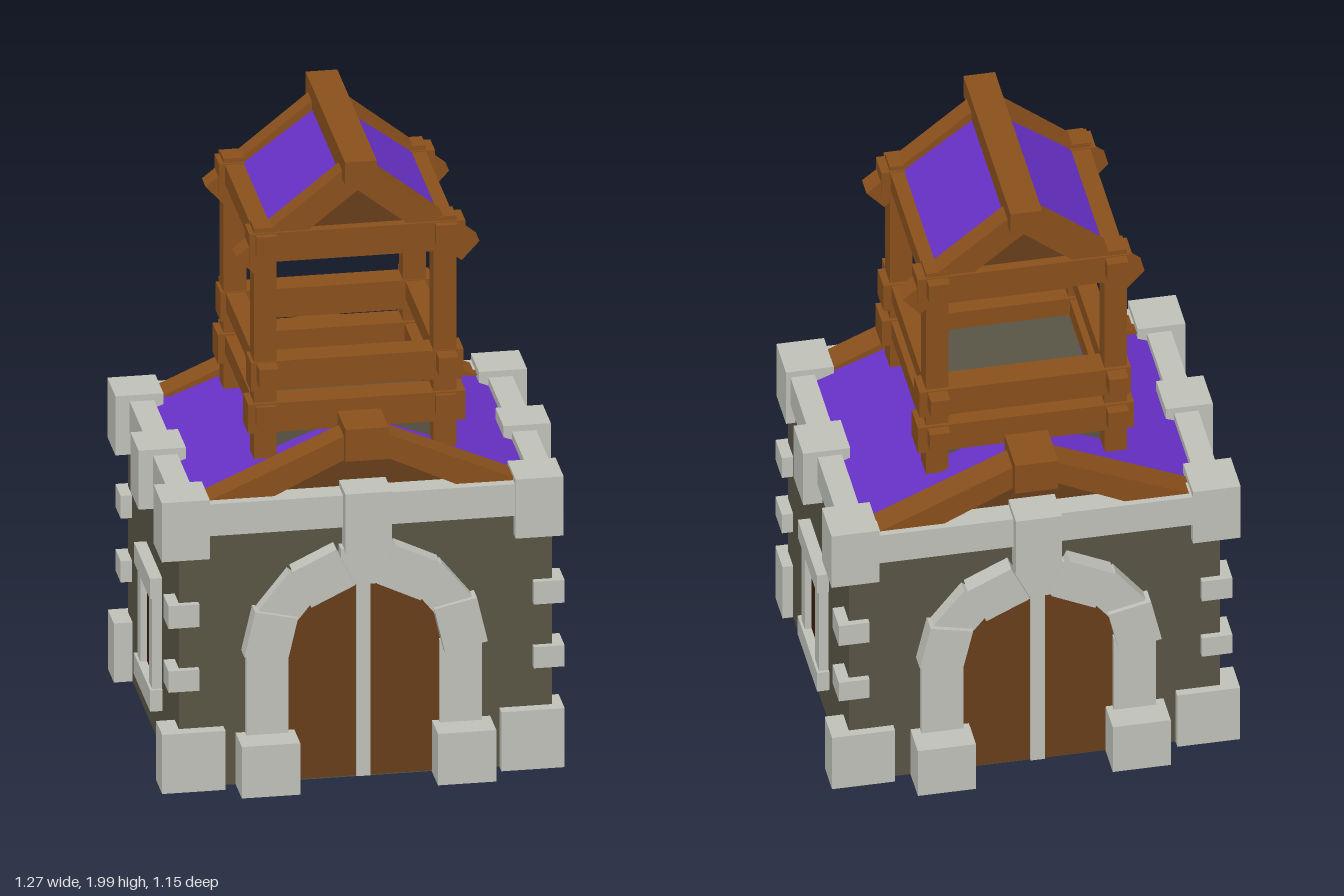
import * as THREE from 'three';

const material = (name, color, side = THREE.FrontSide) => {
  const m = new THREE.MeshStandardMaterial({ color, side });
  m.name = name;
  return m;
};

export function createModel() {
  const model = new THREE.Group();
  model.name = 'gatehouse';
  const stone = material('pale stone', 0xc0c2ba);
  const wall = material('dark wall', 0x595545, THREE.DoubleSide);
  const beam = material('beam wood', 0x8a501c);
  const plank = material('plank wood', 0x693e1a, THREE.DoubleSide);
  const cloth = material('purple roof', 0x6831c8, THREE.DoubleSide);
  const dark = material('dark opening', 0x3c1f0a);

  const add = (name, geometry, mat, parent = model) => {
    const mesh = new THREE.Mesh(geometry, mat);
    mesh.name = name;
    parent.add(mesh);
    return mesh;
  };
  // Box given by its limits on each axis
  const box = (name, mat, x0, x1, y0, y1, z0, z1, parent = model) => {
    const mesh = add(name, new THREE.BoxGeometry(x1 - x0, y1 - y0, z1 - z0), mat, parent);
    mesh.position.set((x0 + x1) / 2, (y0 + y1) / 2, (z0 + z1) / 2);
    return mesh;
  };
  // Outline in x and y, extruded from z0 to z1
  const extrude = (name, mat, points, z0, z1) => {
    const shape = new THREE.Shape(points.map(([x, y]) => new THREE.Vector2(x, y)));
    const mesh = add(name, new THREE.ExtrudeGeometry(shape, { depth: z1 - z0, bevelEnabled: false }), mat);
    mesh.position.z = z0;
    return mesh;
  };
  // Two sloping sheets meeting at a ridge
  const roof = (name, halfWidth, eave, ridge, z0, z1) => {
    for (const s of [-1, 1]) {
      const sheet = add(name, new THREE.PlaneGeometry(Math.hypot(halfWidth, ridge - eave), z1 - z0), cloth);
      sheet.geometry.rotateX(-Math.PI / 2);
      sheet.rotation.z = -s * Math.atan2(ridge - eave, halfWidth);
      sheet.position.set(s * halfWidth / 2, (eave + ridge) / 2, (z0 + z1) / 2);
    }
  };

  // Open-bottomed wall shell
  const shell = new THREE.CylinderGeometry(Math.SQRT1_2, Math.SQRT1_2, 1, 4, 1, true).toNonIndexed();
  shell.rotateY(Math.PI / 4);
  shell.scale(1.15, 0.84, 0.92);
  shell.computeVertexNormals();
  add('walls', shell, wall).position.y = 0.43;

  // Corner stones and the stone rim
  for (const sx of [-1, 1]) {
    for (const sz of [-1, 1]) {
      const corner = new THREE.Group();
      corner.name = 'cornerStones';
      model.add(corner);
      const frontLeft = sx > 0 && sz > 0;
      const block = (w, h, d, x, y, z) =>
        add('cornerStone', new THREE.BoxGeometry(w, h, d), stone, corner).position.set(sx * x, y, sz * z);
      block(0.195, 0.195, 0.11, frontLeft ? 0.51 : 0.535, 0.107, sz > 0 ? 0.442 : 0.432);
      block(0.095, 0.07, 0.095, 0.5625, 0.37, 0.4325);
      block(0.095, 0.075, 0.095, 0.5625, 0.583, 0.4325);
      block(0.148, 0.195, 0.148, frontLeft ? 0.53 : 0.56, 0.873, sz > 0 ? 0.425 : 0.413);
    }
    box('sideRim', stone, sx * 0.5525 - 0.0375, sx * 0.5525 + 0.0375, 0.845, 0.95, -0.45, 0.45);
    box('sideRimStone', stone, sx * 0.562 - 0.073, sx * 0.562 + 0.073, 0.775, 0.97, -0.06, 0.085);
    box('endRim', stone, -0.59, 0.59, 0.845, 0.95, sx * 0.447 - 0.038, sx * 0.447 + 0.038);
    box('endRimStone', stone, -0.073, 0.07, 0.775, 0.97, sx * 0.46 - 0.065, sx * 0.46 + 0.065);
  }

  // Arched door, used on the front and the back
  const doorway = (back) => {
    const group = new THREE.Group();
    group.name = back ? 'backDoorway' : 'frontDoorway';
    model.add(group);
    if (back) group.rotation.y = Math.PI;
    group.position.x = -0.008;
    const leaf = new THREE.Shape();
    leaf.moveTo(-0.25, 0.015);
    leaf.lineTo(0.25, 0.015);
    leaf.lineTo(0.25, 0.45);
    leaf.absarc(0, 0.45, 0.25, 0, Math.PI, false);
    add('door', new THREE.ShapeGeometry(leaf, 16), plank, group).position.z = 0.465;
    box('doorStrip', stone, -0.022, 0.022, 0.015, 0.7, 0.44, 0.473, group);
    for (const s of [-1, 1]) {
      box('archBase', stone, s * 0.302 - 0.09, s * 0.302 + 0.09, 0.01, 0.18, 0.4, 0.573, group);
      box('archPost', stone, s * 0.298 - 0.065, s * 0.298 + 0.065, 0.18, 0.45, 0.4, 0.487, group);
    }
    for (let i = 0; i < 7; i++) {
      const a = ((i + 0.5) / 7) * Math.PI;
      const depth = i % 2 ? 0.105 : 0.12;
      const v = add('archStone', new THREE.BoxGeometry(i % 2 ? 0.12 : 0.135, 0.15, depth), stone, group);
      v.position.set(0.3 * Math.cos(a), 0.45 + 0.272 * Math.sin(a), 0.4 + depth / 2);
      v.rotation.z = a;
    }
  };
  doorway(false);
  doorway(true);

  // Framed window on each side
  for (const left of [true, false]) {
    const w = new THREE.Group();
    w.name = left ? 'leftWindow' : 'rightWindow';
    model.add(w);
    if (!left) w.rotation.y = Math.PI;
    box('windowPane', dark, 0.576, 0.584, 0.21, 0.51, -0.095, 0.062, w);
    box('lintel', stone, 0.54, 0.613, 0.51, 0.577, -0.16, 0.128, w);
    box('sill', stone, 0.54, 0.613, 0.14, 0.21, -0.165, 0.132, w);
    box('jamb', stone, 0.54, 0.605, 0.21, 0.51, 0.06, 0.115, w);
    box('jamb', stone, 0.54, 0.605, 0.21, 0.51, -0.155, -0.093, w);
  }

  // Lower roof with gable beams
  roof('lowerRoof', 0.525, 0.92, 1.12, -0.45, 0.45);
  const lowGable = [[-0.49, 0.945], [0, 1.16], [0.49, 0.945], [0.29, 0.945], [0, 1.085], [-0.29, 0.945]];
  for (const s of [-1, 1]) {
    const z = s > 0 ? 0.408 : -0.418;
    extrude('lowerGableBeam', beam, lowGable, z - 0.046, z + 0.046);
    extrude('lowerGablePanel', plank, [[-0.31, 0.94], [0.31, 0.94], [0, 1.095]], s * 0.4 - 0.01, s * 0.4 + 0.01);
    box('lowerRidgeBlock', beam, -0.065, 0.068, 1.06, 1.165, z - 0.085, z + 0.075);
  }

  // Tower deck, posts and rails
  box('deck', wall, -0.25, 0.25, 0.98, 1.143, -0.235, 0.255);
  for (const x of [-0.285, 0.268]) {
    for (const z of [-0.263, 0.287]) {
      box('post', beam, x - 0.035, x + 0.035, 1.02, 1.78, z - 0.036, z + 0.036);
    }
    box('lowSideRail', beam, x - 0.032, x + 0.032, 1.14, 1.2, -0.345, 0.35);
    box('middleSideRail', beam, x - 0.028, x + 0.032, 1.278, 1.337, -0.36, 0.382);
    box('topSideRail', beam, x - 0.032, x + 0.034, 1.7, 1.762, -0.34, 0.352);
  }
  for (const z of [-0.265, 0.285]) {
    box('lowEndRail', beam, -0.34, 0.33, 1.11, 1.205, z - 0.045, z + 0.05);
    box('middleEndRail', beam, -0.33, 0.325, 1.245, 1.34, z - 0.046, z + 0.042);
    box('topEndRail', beam, -0.335, 0.33, 1.67, 1.765, z - 0.04, z + 0.045);
  }

  // Tower roof
  const highGable = [[-0.375, 1.69], [0, 1.99], [0.375, 1.69], [0.32, 1.63], [0, 1.885], [-0.32, 1.63]];
  for (const z of [-0.263, 0.287]) {
    extrude('upperRafters', beam, highGable, z - 0.034, z + 0.034);
    extrude('upperGablePanel', plank, [[-0.25, 1.71], [0.25, 1.71], [0, 1.9]], z - 0.01, z + 0.01);
  }
  roof('upperRoof', 0.295, 1.735, 1.955, -0.25, 0.27);
  box('ridgeBeam', beam, -0.048, 0.05, 1.925, 2, -0.342, 0.372);
  return model;
}
